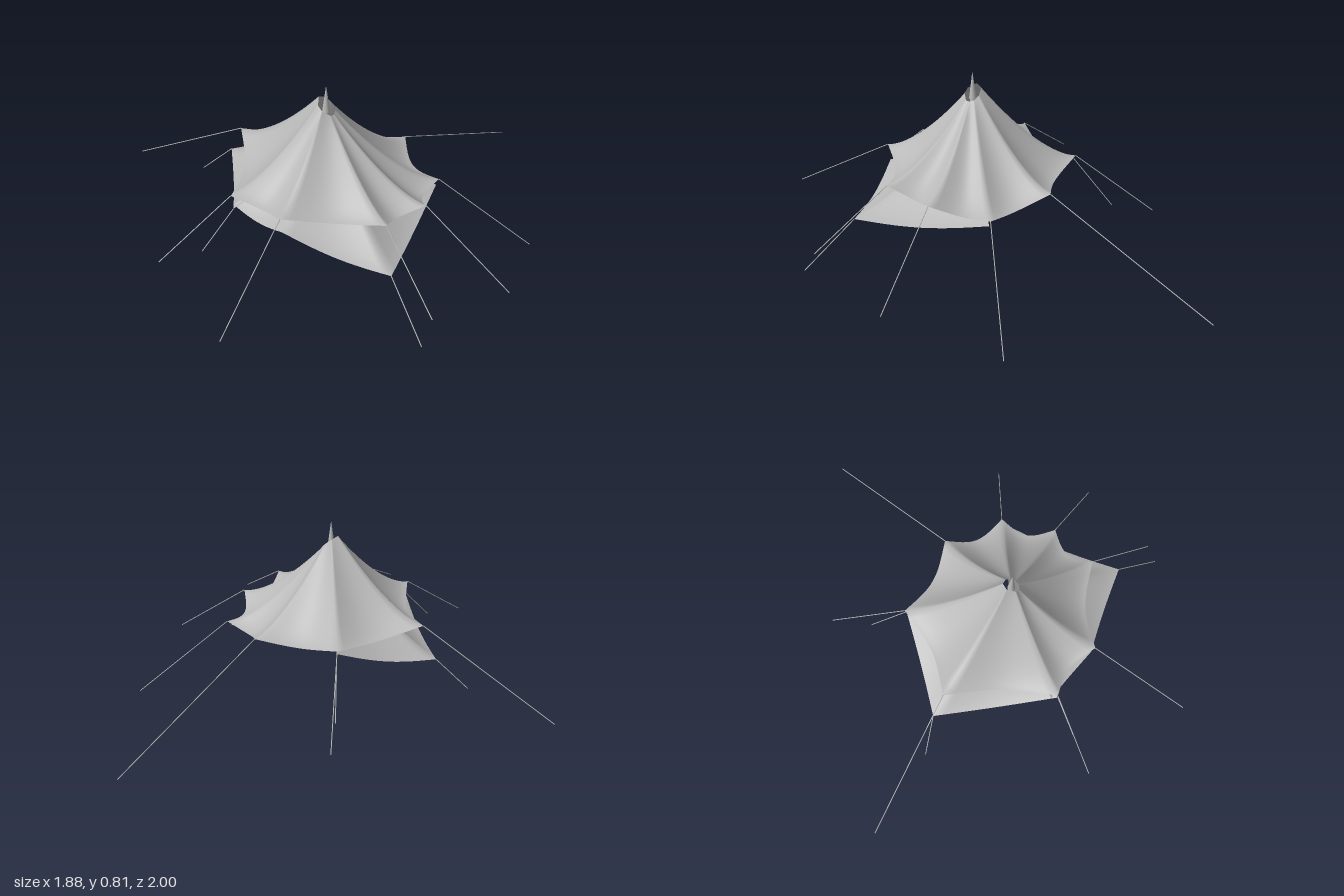
import * as THREE from 'three';

const canvasGrey = new THREE.MeshStandardMaterial({ color: 0xb8b8b8, side: THREE.DoubleSide });
canvasGrey.name = 'canvasGrey';

const CX = 0.115, CZ = 0.168; // pole position

// Sheet stretched from a tilted collar to a list of corners, sagging between ridges
function makeSheet(corners, { closed, power, collarY, collar, pull, sag }) {
  const NU = 12, NT = 20;
  const segments = closed ? corners.length : corners.length - 1;
  const cols = segments * NU + (closed ? 0 : 1);
  const positions = [], index = [];

  // Point on the ridge running to a corner, t = 0 at the collar and 1 at the corner
  const ridge = ([x, y, z], t) => {
    const dx = x - CX, dz = z - CZ, r = Math.hypot(dx, dz);
    const top = collarY - 0.03 * dx / r;
    const d = THREE.MathUtils.lerp(collar, r, t);
    return new THREE.Vector3(CX + dx / r * d, y + (top - y) * (1 - t) ** power, CZ + dz / r * d);
  };

  for (let i = 0; i < cols; i++) {
    const s = Math.floor(i / NU), u = (i % NU) / NU;
    const from = corners[s], to = corners[(s + 1) % corners.length];
    const bow = Math.sin(Math.PI * u);
    for (let j = 0; j <= NT; j++) {
      const t = j / NT;
      const p = ridge(from, t).lerp(ridge(to, t), u);
      const k = 1 - pull * bow * t;
      p.x = CX + (p.x - CX) * k;
      p.z = CZ + (p.z - CZ) * k;
      p.y -= sag * bow * t ** 0.7;
      positions.push(p.x, p.y, p.z);
    }
  }
  for (let i = 0; i < segments * NU; i++) {
    const n = (i + 1) % (closed ? cols : cols + 1);
    for (let j = 0; j < NT; j++) {
      const a = i * (NT + 1) + j, b = n * (NT + 1) + j;
      index.push(a, b, a + 1, b, b + 1, a + 1);
    }
  }
  const g = new THREE.BufferGeometry();
  g.setAttribute('position', new THREE.Float32BufferAttribute(positions, 3));
  g.setIndex(index);
  g.computeVertexNormals();
  return g;
}

function makeRope(from, to) {
  const a = new THREE.Vector3(...from), b = new THREE.Vector3(...to);
  const g = new THREE.CylinderGeometry(0.002, 0.002, a.distanceTo(b), 6);
  const rope = new THREE.Mesh(g, canvasGrey);
  rope.name = 'guyRope';
  rope.position.copy(a).lerp(b, 0.5);
  rope.quaternion.setFromUnitVectors(new THREE.Vector3(0, 1, 0), b.sub(a).normalize());
  return rope;
}

export function createModel() {
  const model = new THREE.Group();
  const add = (name, geometry) => {
    const mesh = new THREE.Mesh(geometry, canvasGrey);
    mesh.name = name;
    model.add(mesh);
    return mesh;
  };

  // Each entry: sheet corner, end of its guy rope
  const upper = [
    [[0.21, 0.39, -0.26], [0.30, 0.07, -1.0]],
    [[0.47, 0.35, -0.14], [0.80, 0.0, -0.40]],
    [[0.56, 0.395, 0.09], [0.94, 0.12, 0.04]],
    [[0.53, 0.42, 0.315], [0.84, 0.22, 0.44]],
    [[0.21, 0.44, 0.56], [0.31, 0.21, 1.0]],
    [[-0.05, 0.425, 0.56], [-0.18, 0.205, 0.85]],
    [[-0.35, 0.43, 0.19], [-0.94, 0.10, 0.29]],
    [[-0.16, 0.41, -0.18], [-0.34, 0.145, -0.48]],
  ];
  const doorSide = [
    [[0.465, 0.325, -0.13]],
    [[0.63, 0.29, 0.41], [0.84, 0.13, 0.50]],
    [[0.21, 0.37, 0.55]],
    [[-0.06, 0.365, 0.54]],
  ];
  const farSide = [
    [[-0.04, 0.365, 0.56], [-0.09, 0.21, 0.70]],
    [[-0.42, 0.29, 0.19], [-0.55, 0.16, 0.25]],
    [[-0.155, 0.395, -0.175], [-0.25, 0.17, -0.32]],
  ];
  const cornersOf = list => list.map(entry => entry[0]);

  // Fabric layers: top canopy and two hanging side panels that overlap at the front
  const panel = { closed: false, power: 1.25, collarY: 0.615, collar: 0.015, pull: 0.01, sag: 0.025 };
  add('upperCanopy', makeSheet(cornersOf(upper),
    { closed: true, power: 1.55, collarY: 0.72, collar: 0.036, pull: 0.09, sag: 0.032 }));
  add('doorSidePanel', makeSheet(cornersOf(doorSide), panel));
  add('farSidePanel', makeSheet(cornersOf(farSide), panel));

  // Centre pole with pointed tip
  add('centrePole', new THREE.CylinderGeometry(0.012, 0.012, 0.51, 16)).position.set(CX, 0.445, CZ);
  add('poleTip', new THREE.CylinderGeometry(0.001, 0.016, 0.11, 16)).position.set(CX, 0.75, CZ);

  // Guy ropes
  const ropes = new THREE.Group();
  ropes.name = 'guyRopes';
  for (const [corner, end] of [...upper, ...doorSide, ...farSide]) {
    if (end) ropes.add(makeRope(corner, end));
  }
  model.add(ropes);
  return model;
}
